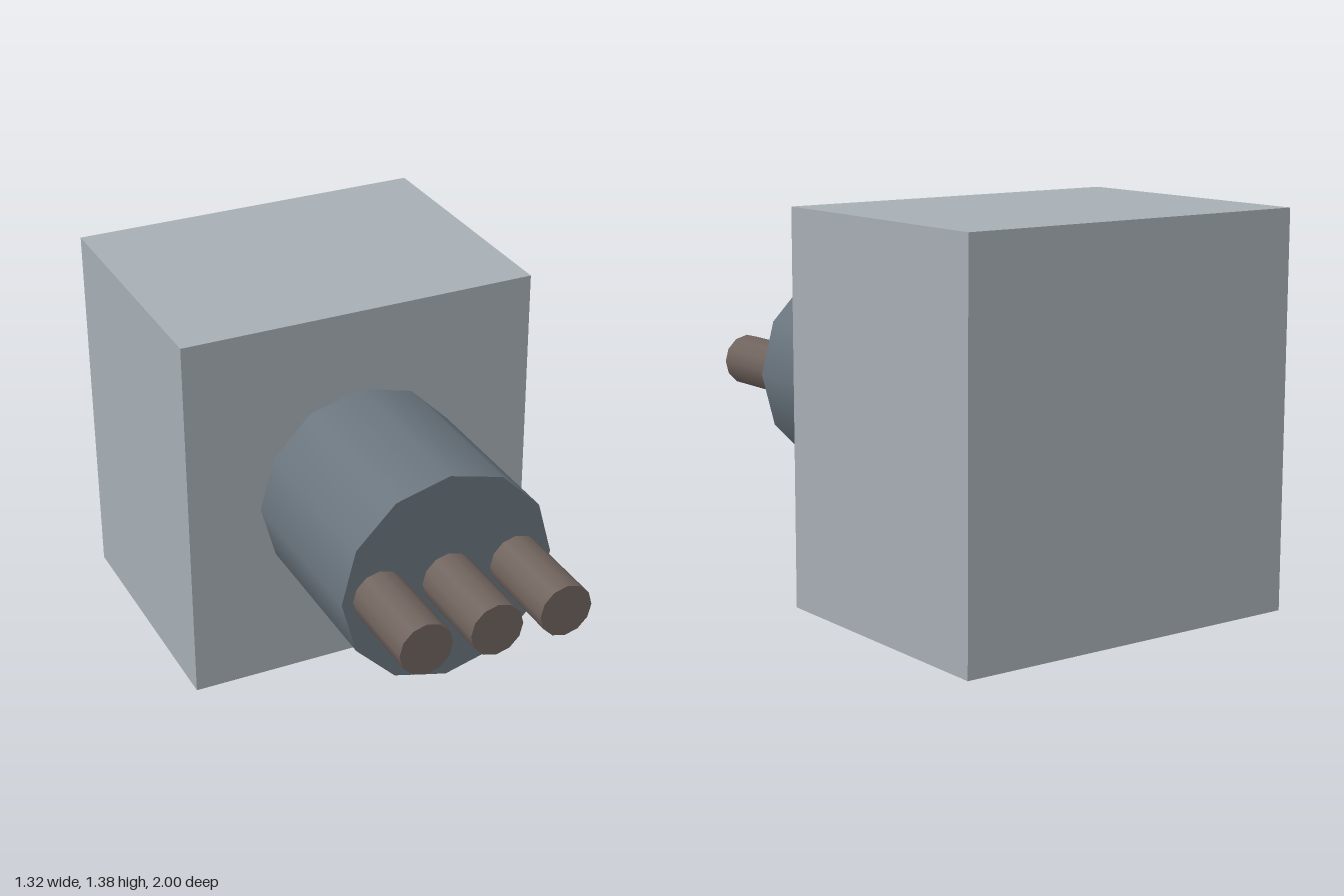
import * as THREE from 'three';

const paint = (name, color) => {
  const material = new THREE.MeshStandardMaterial({ color });
  material.name = name;
  return material;
};

export function createModel() {
  const model = new THREE.Group();
  const lightGrey = paint('light grey', 0xa6aeb4);
  const slate = paint('slate', 0x69747d);
  const brown = paint('brown', 0x6f625c);
  const axisY = 0.69;

  // Adds a twelve-sided rod lying along z
  const addRod = (name, material, radius, x, back, front) => {
    const geometry = new THREE.CylinderGeometry(radius, radius, front - back, 12);
    geometry.rotateX(Math.PI / 2);
    const rod = new THREE.Mesh(geometry, material);
    rod.name = name;
    rod.position.set(x, axisY, (back + front) / 2);
    model.add(rod);
  };

  // Square housing
  const housing = new THREE.Mesh(new THREE.BoxGeometry(1.32, 1.38, 0.995), lightGrey);
  housing.name = 'housing';
  housing.position.set(0, axisY, -0.5025);
  model.add(housing);

  // Round barrel on the front of the housing
  addRod('barrel', slate, 0.39, 0, -0.005, 0.66);

  // Row of three pins
  ['rightPin', 'middlePin', 'leftPin'].forEach((name, i) => {
    addRod(name, brown, 0.095, (i - 1) * 0.254, 0.66, 1);
  });

  return model;
}
